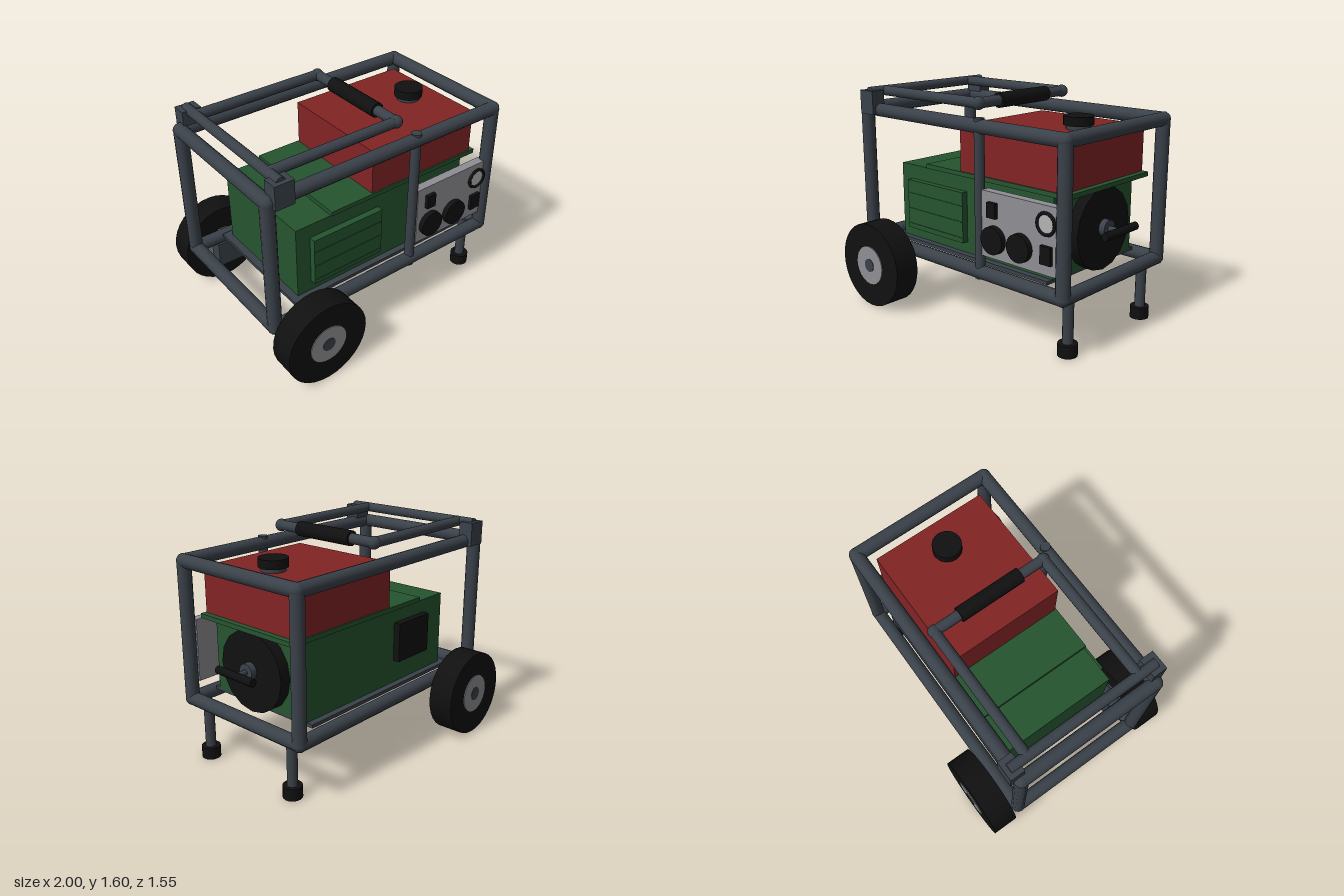
import * as THREE from 'three';

const mat = (name, color) => {
  const m = new THREE.MeshStandardMaterial({ color });
  m.name = name;
  return m;
};

export function createModel() {
  const steel = mat('dark steel', 0x3a4149);
  const green = mat('green paint', 0x25542f);
  const red = mat('red paint', 0x822424);
  const black = mat('black rubber', 0x101010);
  const grey = mat('light grey', 0x8e8e94);
  const dial = mat('dial white', 0xb4b4b4);

  const model = new THREE.Group();
  model.name = 'portableGenerator';

  const add = (name, geometry, material, x = 0, y = 0, z = 0) => {
    const mesh = new THREE.Mesh(geometry, material);
    mesh.name = name;
    mesh.position.set(x, y, z);
    model.add(mesh);
    return mesh;
  };
  // Box given by its minimum and maximum on each axis
  const box = (name, material, [x0, x1], [y0, y1], [z0, z1]) =>
    add(name, new THREE.BoxGeometry(x1 - x0, y1 - y0, z1 - z0), material,
      (x0 + x1) / 2, (y0 + y1) / 2, (z0 + z1) / 2);
  // Cylinder between two points
  const rod = (name, material, r, a, b, sides = 12) => {
    const from = new THREE.Vector3(...a), to = new THREE.Vector3(...b);
    const dir = to.clone().sub(from);
    const mesh = add(name, new THREE.CylinderGeometry(r, r, dir.length(), sides), material);
    mesh.position.copy(from).add(to).multiplyScalar(0.5);
    mesh.quaternion.setFromUnitVectors(new THREE.Vector3(0, 1, 0), dir.normalize());
    return mesh;
  };
  const ball = (name, material, r, x, y, z) =>
    add(name, new THREE.SphereGeometry(r, 12, 8), material, x, y, z);

  // Tubular cage
  const xL = -0.945, xR = 0.925, yB = 0.43, yT = 1.42, zF = 0.525, R = 0.049;
  for (const y of [yB, yT]) {
    for (const z of [-zF, zF]) rod('frameRail', steel, R, [xL, y, z], [xR, y, z]);
    for (const x of [xL, xR]) {
      rod('frameCrossRail', steel, R, [x, y, -zF], [x, y, zF]);
      for (const z of [-zF, zF]) ball('frameJoint', steel, 0.051, x, y, z);
    }
  }
  for (const x of [xL, xR])
    for (const z of [-zF, zF]) rod('framePost', steel, R, [x, yB, z], [x, yT, z]);
  rod('middlePost', steel, 0.036, [0.214, 0.385, zF], [0.214, 1.473, zF]);

  // Folding handle with its pivot bar and brackets
  const yH = 1.548, xP = -0.865, xH = 0.115;
  rod('handlePivot', steel, 0.036, [xP, yH, -0.565], [xP, yH, 0.565]);
  rod('handleBar', steel, 0.037, [xH, yH, -0.43], [xH, yH, 0.43]);
  rod('handleGrip', black, 0.053, [xH, yH, -0.24], [xH, yH, 0.24], 16);
  for (const s of [-1, 1]) {
    rod('handleArm', steel, 0.037, [xP, yH, s * 0.43], [xH, yH, s * 0.43]);
    ball('handleElbow', steel, 0.045, xH, yH, s * 0.43);
    add('handleBracket', new THREE.BoxGeometry(0.14, 0.17, 0.105), steel, -0.862, 1.475, s * 0.545);
  }

  // Base plate, engine housing and lid
  box('basePlate', steel, [-0.745, 0.755], [0.46, 0.485], [-0.472, 0.472]);
  box('engineHousing', green, [-0.69, 0.76], [0.48, 1.03], [-0.425, 0.425]);
  box('housingLid', green, [-0.41, 0.88], [1.03, 1.062], [-0.437, 0.437]);

  // Side cover with louvres, exhaust box at the back
  box('sideCover', green, [-0.58, -0.01], [0.565, 0.927], [0.42, 0.472]);
  for (const y of [0.6, 0.715, 0.83])
    box('coverLouvre', green, [-0.57, -0.02], [y - 0.003, y + 0.003], [0.47, 0.477]);
  box('exhaustBox', black, [-0.47, -0.13], [0.652, 0.935], [-0.475, -0.42]);

  // Fuel tank and cap
  box('fuelTank', red, [-0.067, 0.838], [1.06, 1.385], [-0.427, 0.427]);
  rod('tankNeck', steel, 0.085, [0.61, 1.38, 0], [0.61, 1.42, 0], 20);
  rod('tankCap', black, 0.102, [0.61, 1.412, 0], [0.61, 1.473, 0], 20);

  // Control panel
  const zP = 0.545;
  box('controlPanel', grey, [0.25, 0.89], [0.56, 1.01], [0.48, zP]);
  for (const x of [0.37, 0.597])
    rod('powerSocket', black, 0.095, [x, 0.695, zP - 0.01], [x, 0.695, 0.584], 24);
  box('powerSwitch', black, [0.32, 0.395], [0.842, 0.945], [zP - 0.01, 0.574]);
  box('breaker', black, [0.77, 0.855], [0.635, 0.755], [zP - 0.01, 0.57]);
  rod('meterFace', dial, 0.07, [0.81, 0.897, zP - 0.01], [0.81, 0.897, 0.56], 24);
  add('meterRim', new THREE.TorusGeometry(0.07, 0.011, 8, 24), black, 0.81, 0.897, 0.56);

  // Recoil starter
  rod('starterDisc', black, 0.285, [0.75, 0.745, 0], [0.84, 0.745, 0], 16);
  rod('starterHub', steel, 0.06, [0.84, 0.755, 0], [0.885, 0.755, 0], 12);
  rod('starterCord', steel, 0.02, [0.88, 0.755, 0], [0.97, 0.755, 0], 8);
  rod('starterGrip', black, 0.028, [0.972, 0.755, -0.17], [0.972, 0.755, 0.17], 12);

  for (const s of [-1, 1]) {
    // Legs with rubber feet
    rod('leg', steel, 0.037, [0.88, 0.06, s * 0.41], [0.88, 0.43, s * 0.41]);
    rod('foot', black, 0.067, [0.88, 0, s * 0.41], [0.88, 0.085, s * 0.41], 16);

    // Wheels on axle brackets
    const x = -0.69, y = 0.313;
    add('axleBracket', new THREE.BoxGeometry(0.2, 0.2, 0.1), steel, x, 0.295, s * 0.525);
    rod('tyre', black, 0.312, [x, y, s * 0.58], [x, y, s * 0.766], 32);
    rod('wheelHub', grey, 0.144, [x, y, s * 0.574], [x, y, s * 0.772], 24);
    rod('axleEnd', steel, 0.05, [x, y, s * 0.56], [x, y, s * 0.776], 16);
  }
  return model;
}
